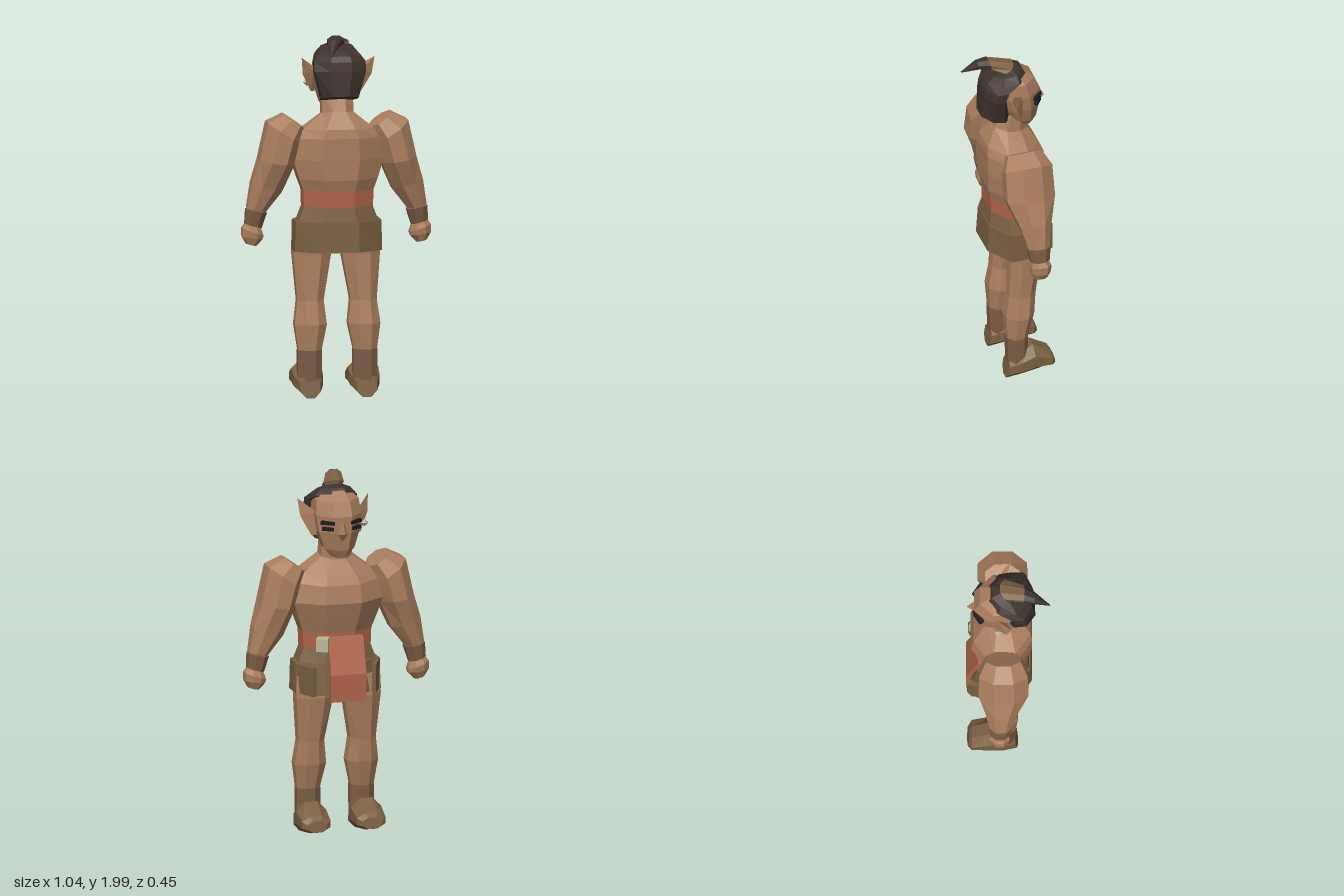
import * as THREE from 'three';
import { ConvexGeometry } from 'three/addons/geometries/ConvexGeometry.js';

const mat = (name, color) => {
  const m = new THREE.MeshStandardMaterial({ color, flatShading: true });
  m.name = name;
  return m;
};
const V = (x, y, z) => new THREE.Vector3(x, y, z);

// Ring whose ends are front and back points on the centre plane: [cx, halfX, yFront, zFront, yBack, zBack]
const bodyRing = ([cx, hx, yf, zf, yb, zb]) => ({
  c: V(cx, (yf + yb) / 2, (zf + zb) / 2),
  u: V(0, (yf - yb) / 2, (zf - zb) / 2),
  v: V(hx, 0, 0),
});
// Ring whose ends are inner and outer points of a limb: [xIn, yIn, xOut, yOut, zCentre, halfZ]
const armRing = ([xi, yi, xo, yo, zc, hz]) => ({
  c: V((xi + xo) / 2, (yi + yo) / 2, zc),
  u: V((xo - xi) / 2, (yo - yi) / 2, 0),
  v: V(0, 0, hz),
});

// Capped eight-sided skin through a list of rings, always facing outward
function loft(rings, side = 1, n = 8) {
  const k = 1 / Math.cos(Math.PI / n);
  const pts = rings.map(({ c, u, v }) => Array.from({ length: n }, (_, i) => {
    const a = ((i + 0.5) * 2 * Math.PI) / n;
    const p = c.clone().addScaledVector(u, Math.cos(a) * k).addScaledVector(v, Math.sin(a) * k);
    p.x *= side;
    return p;
  }));
  const tris = [];
  const last = pts.length - 1;
  const mid = (r) => V(r.c.x * side, r.c.y, r.c.z);
  for (let i = 0; i < n; i++) {
    const j = (i + 1) % n;
    for (let r = 0; r < last; r++) {
      const [a, b, c, d] = [pts[r][i], pts[r][j], pts[r + 1][j], pts[r + 1][i]];
      tris.push([a, b, c], [a, c, d]);
    }
    tris.push([mid(rings[0]), pts[0][j], pts[0][i]]);
    tris.push([mid(rings[last]), pts[last][i], pts[last][j]]);
  }
  const volume = tris.reduce((s, [a, b, c]) => s + a.dot(b.clone().cross(c)), 0);
  if (volume < 0) tris.forEach((t) => t.reverse());
  const g = new THREE.BufferGeometry().setFromPoints(tris.flat());
  g.computeVertexNormals();
  return g;
}

export function createModel() {
  const skin = mat('skin', 0xac7f5f);
  const brown = mat('brown leather', 0x7a5f42);
  const wrap = mat('wrap brown', 0x7d5e45);
  const hairMat = mat('dark hair', 0x3d322e);
  const rust = mat('rust cloth', 0xb0644a);
  const ivory = mat('ivory', 0xbab899);
  const black = mat('black', 0x1e1c1c);

  const model = new THREE.Group();
  model.name = 'figure';
  const add = (name, geo, material) => {
    const m = new THREE.Mesh(geo, material);
    m.name = name;
    model.add(m);
    return m;
  };
  const body = (name, rows, material, side = 1) => add(name, loft(rows.map(bodyRing), side), material);
  const arm = (name, rows, material, side) => add(name, loft(rows.map(armRing), side), material);

  // Torso, belt and skirt
  body('torso', [
    [0, 0.19, 1.13, -0.145, 1.13, 0.1],
    [0, 0.215, 1.2, -0.17, 1.2, 0.12],
    [0, 0.25, 1.31, -0.205, 1.31, 0.125],
    [0, 0.235, 1.41, -0.19, 1.43, 0.127],
    [0, 0.195, 1.46, -0.165, 1.48, 0.12],
    [0, 0.087, 1.54, -0.12, 1.57, 0.065],
    [0, 0.085, 1.66, -0.1, 1.66, 0.03],
  ], skin);
  body('belt', [
    [0, 0.19, 1.05, -0.145, 1.05, 0.102],
    [0, 0.193, 1.14, -0.148, 1.14, 0.103],
  ], rust);
  body('waistband', [
    [0, 0.225, 0.95, -0.16, 0.95, 0.115],
    [0, 0.188, 1.05, -0.143, 1.05, 0.1],
  ], brown);
  body('skirt', [
    [0, 0.24, 0.8, -0.195, 0.805, 0.128],
    [0, 0.235, 0.97, -0.17, 0.97, 0.118],
  ], brown);

  // Hanging front cloth and belt buckle
  const cloth = new THREE.Shape([
    [-0.14, 1.12], [-0.165, 1.12], [-0.23, 0.92], [-0.23, 0.77], [-0.21, 0.77], [-0.208, 0.92],
  ].map(([z, y]) => new THREE.Vector2(z, y)));
  add('frontCloth', new THREE.ExtrudeGeometry(cloth, { depth: 0.2, bevelEnabled: false })
    .rotateY(-Math.PI / 2).translate(0.08, 0, 0), rust);
  add('buckle', new THREE.BoxGeometry(0.065, 0.07, 0.075)
    .rotateY(-0.4).translate(0.11, 1.085, -0.17), ivory);

  // Head and nose
  body('head', [
    [0, 0.05, 1.555, -0.15, 1.58, -0.05],
    [0, 0.085, 1.6, -0.17, 1.62, 0],
    [0, 0.115, 1.7, -0.185, 1.7, 0.05],
    [0, 0.127, 1.79, -0.187, 1.79, 0.09],
    [0, 0.118, 1.87, -0.155, 1.87, 0.09],
    [0, 0.07, 1.92, -0.095, 1.9, 0.04],
  ], skin);
  add('nose', new ConvexGeometry([
    V(0, 1.79, -0.183), V(0.033, 1.69, -0.175), V(-0.033, 1.69, -0.175),
    V(0, 1.7, -0.227), V(0, 1.65, -0.175),
  ]), skin);

  // Hair and topknot
  body('hair', [
    [0, 0.1, 1.62, -0.02, 1.665, 0.145],
    [0, 0.142, 1.79, 0, 1.8, 0.135],
    [0, 0.14, 1.85, -0.03, 1.85, 0.128],
    [0, 0.118, 1.885, -0.118, 1.88, 0.11],
    [0, 0.085, 1.93, -0.09, 1.905, 0.07],
    [0, 0.04, 1.945, -0.05, 1.925, 0.03],
  ], hairMat);
  body('topknot', [
    [0, 0.03, 1.9, -0.04, 1.9, 0.02],
    [0.005, 0.058, 1.965, -0.045, 1.915, 0.03],
    [-0.025, 0.045, 1.993, 0.09, 1.93, 0.075],
  ], brown);
  body('topknotTip', [
    [-0.025, 0.046, 1.994, 0.088, 1.928, 0.073],
    [-0.045, 0.032, 1.975, 0.145, 1.925, 0.13],
    [-0.07, 0.003, 1.905, 0.225, 1.9, 0.222],
  ], hairMat);

  for (const s of [1, -1]) {
    // Pointed ear
    add('ear', new ConvexGeometry([
      V(s * 0.115, 1.8, -0.07), V(s * 0.115, 1.67, -0.065), V(s * 0.14, 1.67, -0.05),
      V(s * 0.19, 1.77, -0.01), V(s * 0.2, 1.865, 0.015), V(s * 0.13, 1.78, -0.01),
    ]), skin);

    // Brow and eye bars
    for (const [name, y, w] of [['brow', 1.758, 0.08], ['eye', 1.725, 0.065]]) {
      add(name, new THREE.BoxGeometry(w, 0.019, 0.022)
        .rotateY(-s * 0.6).translate(s * 0.078, y, -0.165), black);
    }

    // Arm, wrist wrap and hand
    arm('arm', [
      [0.18, 1.475, 0.295, 1.555, -0.03, 0.095],
      [0.205, 1.39, 0.385, 1.51, -0.03, 0.133],
      [0.24, 1.28, 0.43, 1.31, -0.03, 0.135],
      [0.305, 1.13, 0.47, 1.18, -0.04, 0.09],
      [0.39, 1.02, 0.493, 1.04, -0.045, 0.06],
    ], skin, s);
    arm('wristWrap', [
      [0.385, 1.015, 0.497, 1.035, -0.045, 0.065],
      [0.412, 0.93, 0.502, 0.955, -0.05, 0.05],
    ], wrap, s);
    arm('hand', [
      [0.415, 0.93, 0.5, 0.955, -0.05, 0.045],
      [0.402, 0.89, 0.518, 0.93, -0.052, 0.056],
      [0.405, 0.87, 0.518, 0.885, -0.052, 0.052],
      [0.44, 0.832, 0.497, 0.845, -0.05, 0.035],
    ], skin, s);

    // Leg, ankle wrap and foot
    body('leg', [
      [0.135, 0.1, 0.9, -0.15, 0.9, 0.03],
      [0.134, 0.104, 0.78, -0.155, 0.78, 0.02],
      [0.146, 0.072, 0.53, -0.12, 0.53, 0.03],
      [0.147, 0.088, 0.4, -0.11, 0.4, 0.05],
      [0.152, 0.064, 0.26, -0.075, 0.26, 0.04],
    ], skin, s);
    body('ankleWrap', [
      [0.152, 0.066, 0.26, -0.077, 0.26, 0.042],
      [0.152, 0.066, 0.06, -0.075, 0.06, 0.035],
    ], wrap, s);
    body('foot', [
      [0.155, 0.055, 0.12, 0.032, 0, 0.05],
      [0.155, 0.08, 0.16, -0.035, 0.015, -0.03],
      [0.155, 0.085, 0.195, -0.1, 0.027, -0.1],
      [0.155, 0.08, 0.135, -0.2, 0.043, -0.2],
      [0.155, 0.055, 0.11, -0.215, 0.05, -0.225],
    ], brown, s);

    // Skirt side flap
    add('skirtFlap', new THREE.BoxGeometry(0.022, 0.16, 0.16)
      .rotateY(s * 0.42).translate(s * 0.2, 0.885, -0.14), brown);
  }

  // Single earring
  add('earring', new THREE.OctahedronGeometry(0.022).translate(-0.16, 1.72, -0.055), ivory);

  return model;
}
